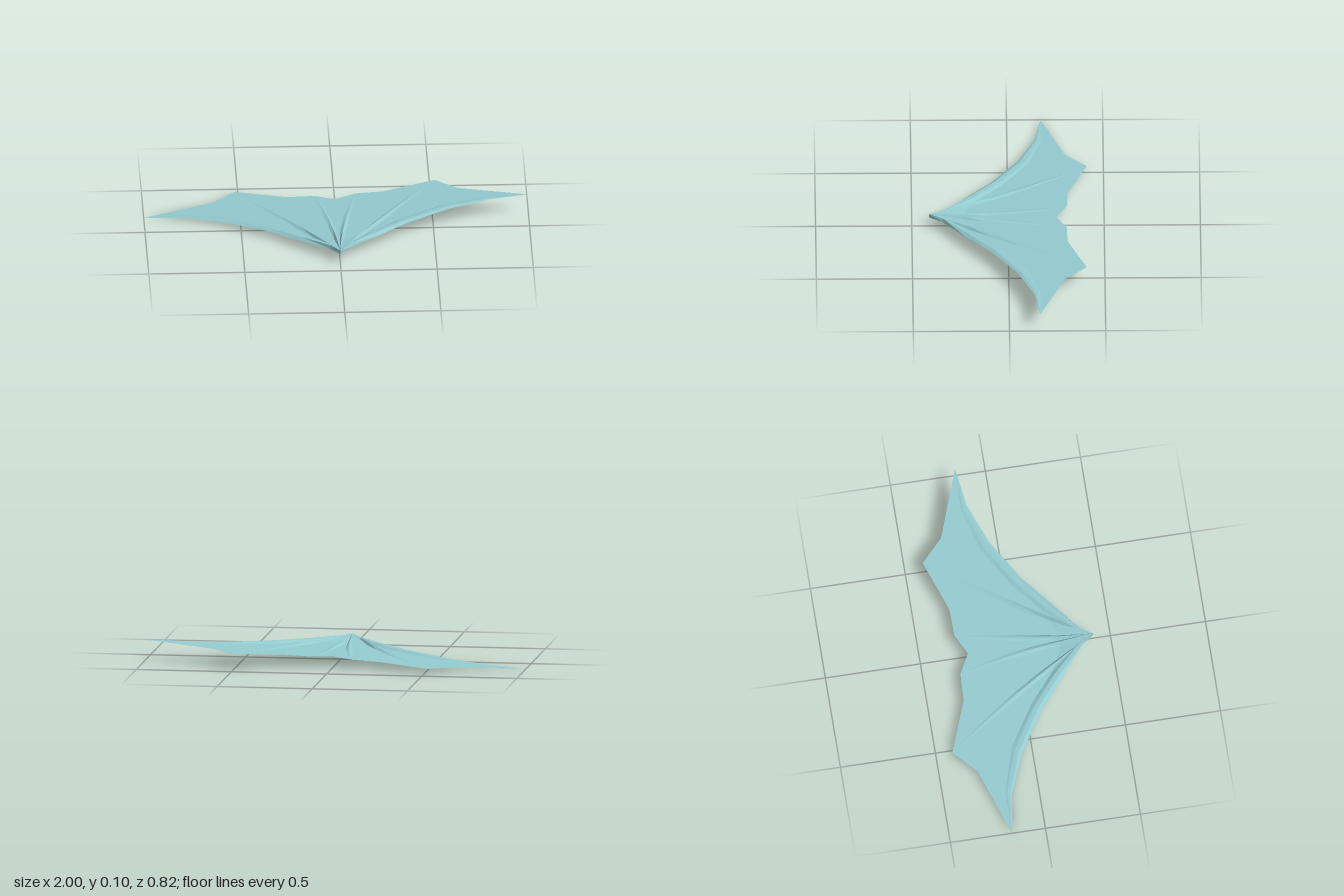
import * as THREE from 'three';

// Fractions along every spoke, from the front point to the trailing edge
const T = [0, 0.07, 0.25, 0.41, 0.62, 0.82, 1];
const RISE = 0.021; // height of the hub above the membrane
const hub = (t) => RISE * Math.max(0, 1 - t / 0.25);

// Leading edge of the left half as [x, z], one point per fraction
const EDGE = [[0, 0.41], [0.05, 0.34], [0.2, 0.22], [0.36, 0.085], [0.575, -0.05], [0.795, -0.137], [1, -0.168]];

// Spoke parallel to the leading edge, moved inwards and tapering at the tip
function armSpoke(inset, height) {
  return EDGE.map(([x, z], i) => {
    const w = inset * Math.min(1, T[i] * 5) * Math.min(1, (1 - T[i]) * 3.5);
    return [x - w * 0.55, height(T[i]), z - w * 0.83];
  });
}

// Curved spoke of a finger bone, moved sideways by half the bone's width
function fingerSpoke(ctrl, end, side, height) {
  const curve = new THREE.QuadraticBezierCurve(
    new THREE.Vector2(0, 0.41), new THREE.Vector2(...ctrl), new THREE.Vector2(...end));
  return T.map((t) => {
    const p = curve.getPoint(t), d = curve.getTangent(t);
    const w = side * Math.min(0.016, t * 0.04, (1 - t) * 0.06);
    return [p.x - d.y * w, height(t), p.y + d.x * w];
  });
}

// Spoke halfway between two others, drawn in to a point of the scalloped hem
function hemSpoke(a, b, end) {
  const last = T.length - 1;
  const mid = (i, k) => (a[i][k] + b[i][k]) / 2;
  return T.map((t, i) => [
    mid(i, 0) + (end[0] - mid(last, 0)) * t * t,
    hub(t),
    mid(i, 2) + (end[1] - mid(last, 2)) * t * t]);
}

const mirror = (spoke) => spoke.map(([x, y, z]) => [-x, y, z]);

// Sheet spanning neighbouring spokes, ordered from +x to -x, on the tilted plane
function sheet(name, spokes, material) {
  const pos = [], index = [], n = T.length;
  for (const spoke of spokes)
    for (const [x, h, z] of spoke) pos.push(x, 0.0525 * (1 + x) + h, z + 0.008 * x);
  for (let i = 0; i < spokes.length - 1; i++)
    for (let j = 0; j < n - 1; j++) {
      const a = i * n + j, b = a + n;
      index.push(a, a + 1, b, b, a + 1, b + 1);
    }
  const g = new THREE.BufferGeometry();
  g.setAttribute('position', new THREE.Float32BufferAttribute(pos, 3));
  g.setIndex(index);
  g.computeVertexNormals();
  const mesh = new THREE.Mesh(g, material);
  mesh.name = name;
  return mesh;
}

export function createModel() {
  const group = new THREE.Group();
  group.name = 'wings';
  const material = new THREE.MeshStandardMaterial({ color: 0x93cbd0, flatShading: true, side: THREE.DoubleSide });

  // Raised arm along the leading edge
  const arm = [
    armSpoke(0, () => 0),
    armSpoke(0.018, (t) => RISE * (1 - t) * 0.8 + hub(t) * 0.2),
    armSpoke(0.042, (t) => RISE * (1 - t) * 0.7 + hub(t) * 0.3),
    armSpoke(0.062, hub),
  ];

  // Two ridged finger bones in each half
  const finger = (ctrl, end) => [
    fingerSpoke(ctrl, end, 1, hub),
    fingerSpoke(ctrl, end, 0, (t) => Math.max(hub(t), RISE * (1 - t) ** 1.5)),
    fingerSpoke(ctrl, end, -1, hub),
  ];
  const outer = finger([0.22, 0], [0.52, -0.41]);
  const inner = finger([0.02, 0.05], [0.105, -0.305]);

  // Membrane panels between the bones
  const outerPanel = [arm[3], hemSpoke(arm[3], outer[0], [0.64, -0.295]), outer[0]];
  const innerPanel = [outer[2], hemSpoke(outer[2], inner[0], [0.25, -0.31]), inner[0]];
  const centre = [inner[2], hemSpoke(inner[2], mirror(inner[2]), [0, -0.25]), mirror(inner[2])];

  const parts = { Arm: arm, OuterPanel: outerPanel, OuterFinger: outer, InnerPanel: innerPanel, InnerFinger: inner };
  for (const [name, spokes] of Object.entries(parts)) {
    group.add(sheet('left' + name, spokes, material));
    group.add(sheet('right' + name, spokes.map(mirror).reverse(), material));
  }
  group.add(sheet('centrePanel', centre, material));
  return group;
}
